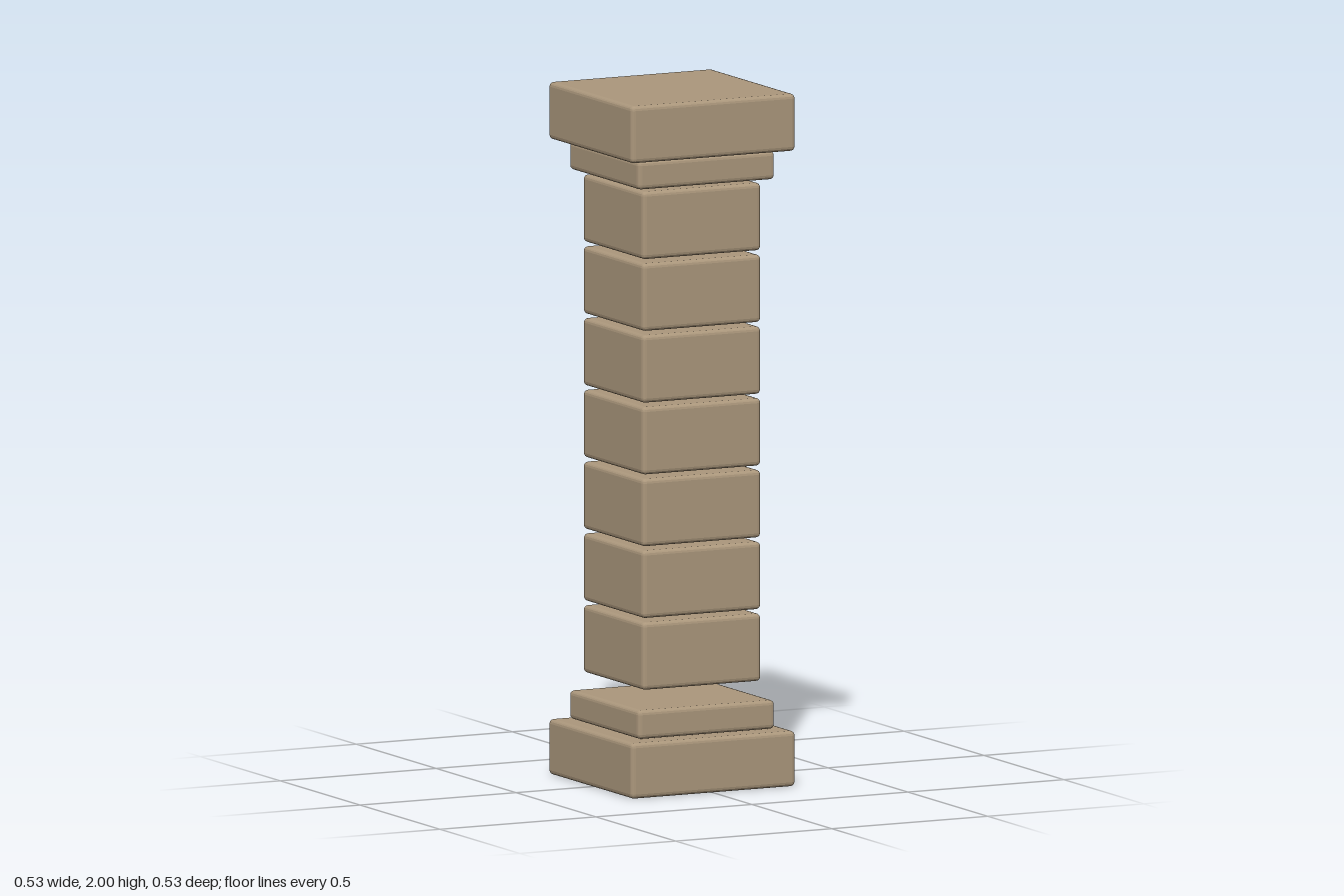
import * as THREE from 'three';
import { RoundedBoxGeometry } from 'three/addons/geometries/RoundedBoxGeometry.js';

export function createModel() {
  const group = new THREE.Group();
  const sandstone = new THREE.MeshStandardMaterial({ color: 0xab977c });
  sandstone.name = 'sandstone';

  // A square slab with faceted, bevelled edges, from y0 up to y1
  function slab(name, width, y0, y1) {
    const geometry = new RoundedBoxGeometry(width, y1 - y0, width, 2, 0.013);
    geometry.computeVertexNormals();
    const mesh = new THREE.Mesh(geometry, sandstone);
    mesh.name = name;
    mesh.position.y = (y0 + y1) / 2;
    group.add(mesh);
  }

  // Stepped base
  slab('basePlinth', 0.526, 0, 0.16);
  slab('baseTrim', 0.438, 0.163, 0.246);

  // Shaft of seven separate blocks
  for (let i = 0; i < 7; i++) {
    const y = 0.299 + i * 0.2073;
    slab(`shaftBlock${i + 1}`, 0.38, y, y + 0.195);
  }

  // Stepped capital
  slab('capitalTrim', 0.438, 1.75, 1.832);
  slab('capitalSlab', 0.526, 1.835, 2);

  return group;
}
